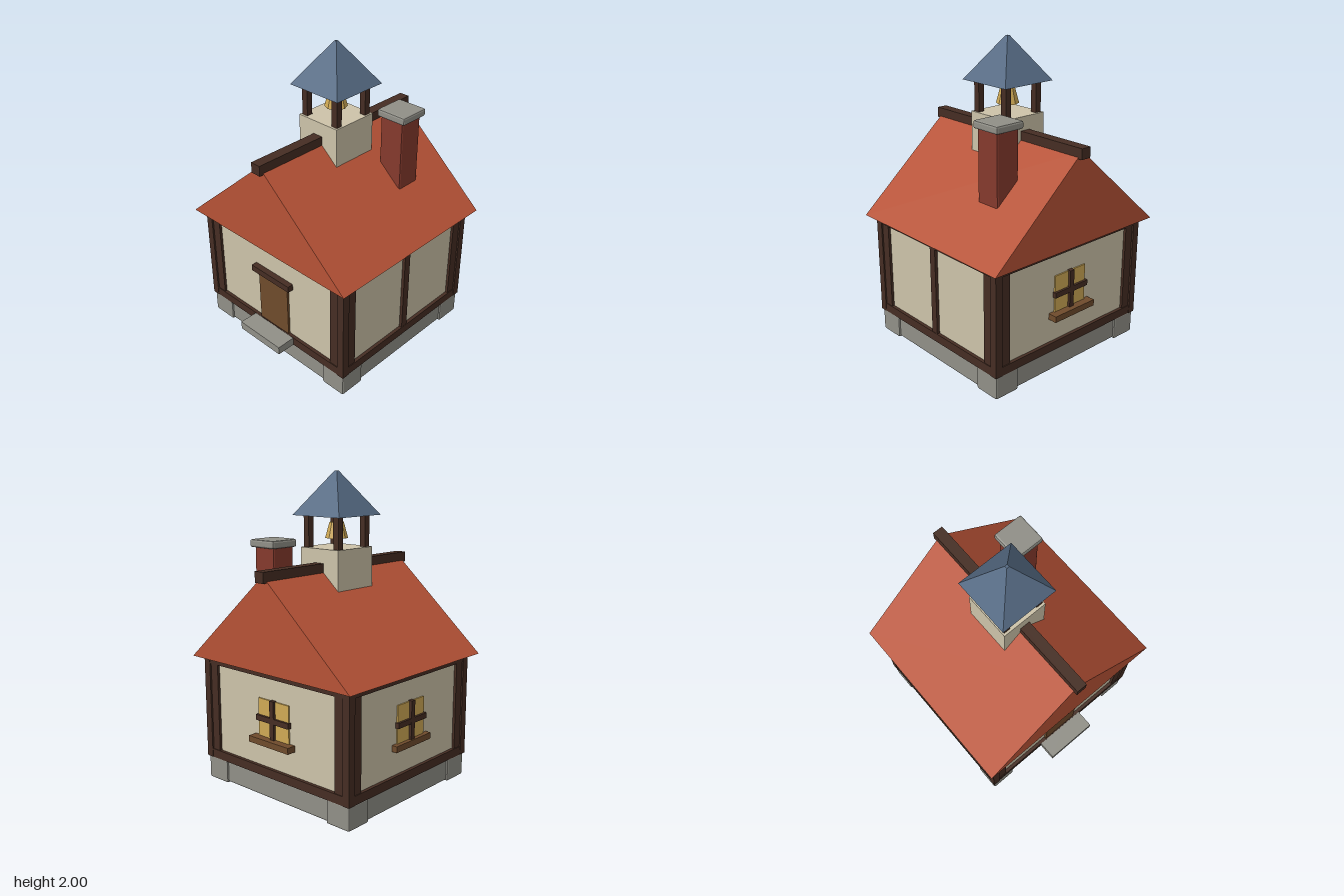
import * as THREE from 'three';
import { RoundedBoxGeometry } from 'three/addons/geometries/RoundedBoxGeometry.js';

const mat = (name, color) => Object.assign(new THREE.MeshStandardMaterial({ color, flatShading: true }), { name });

export function createModel() {
  const plaster = mat('plaster', 0xcdc3a9);
  const timber = mat('dark timber', 0x452d23);
  const wood = mat('brown wood', 0x6f4b2c);
  const stone = mat('grey stone', 0x908f87);
  const tile = mat('red roof tile', 0xb65236);
  const brick = mat('chimney brick', 0x853a2d);
  const slate = mat('blue slate', 0x566b84);
  const gold = mat('gold', 0xcfa955);

  const model = new THREE.Group();
  model.name = 'bellHouse';
  const house = new THREE.Group();
  house.name = 'house';
  house.position.z = -0.022;
  model.add(house);

  const add = (name, geometry, material, parent = house) => {
    const m = new THREE.Mesh(geometry, material);
    m.name = name;
    parent.add(m);
    return m;
  };
  // Box given by its two extreme corners; a bevel chamfers its edges
  const box = (name, material, [x0, y0, z0], [x1, y1, z1], bevel = 0, parent = house) => {
    const s = [x1 - x0, y1 - y0, z1 - z0];
    const g = bevel ? new RoundedBoxGeometry(...s, 1, bevel) : new THREE.BoxGeometry(...s);
    const m = add(name, g, material, parent);
    m.position.set((x0 + x1) / 2, (y0 + y1) / 2, (z0 + z1) / 2);
    return m;
  };

  // Stone base with thicker corner blocks
  box('foundation', stone, [-0.6, 0.005, -0.565], [0.6, 0.15, 0.565], 0.012);
  for (const sx of [-1, 1]) for (const sz of [-1, 1]) {
    const block = box('foundationCorner', stone, [-0.0875, 0, -0.0875], [0.0875, 0.155, 0.0875], 0.01);
    block.position.x = sx * 0.525;
    block.position.z = sz * 0.49;
  }
  box('doorStep', stone, [-0.18, 0.15, 0.5], [0.18, 0.205, 0.708]);

  // Plaster walls
  box('walls', plaster, [-0.595, 0.15, -0.56], [0.595, 0.83, 0.56]);

  // Timber frame: corner posts, flanking studs and horizontal beams
  for (const sx of [-1, 1]) for (const sz of [-1, 1]) {
    const post = box('cornerPost', timber, [-0.025, 0.15, -0.025], [0.025, 0.83, 0.025]);
    post.position.x = sx * 0.595;
    post.position.z = sz * 0.56;
    const frontStud = box('wallStud', timber, [-0.031, 0.15, -0.01], [0.031, 0.83, 0.01]);
    frontStud.position.x = sx * 0.535;
    frontStud.position.z = sz * 0.567;
    const sideStud = box('wallStud', timber, [-0.01, 0.15, -0.031], [0.01, 0.83, 0.031]);
    sideStud.position.x = sx * 0.602;
    sideStud.position.z = sz * 0.502;
  }
  for (const [y0, y1] of [[0.15, 0.207], [0.785, 0.83]]) {
    box('wallBeam', timber, [-0.61, y0, -0.582], [0.61, y1, 0.582]);
    box('wallBeam', timber, [-0.617, y0, -0.57], [0.617, y1, 0.57]);
  }
  box('middlePost', timber, [0.59, 0.2, -0.024], [0.615, 0.79, 0.024]);

  // Door
  box('door', wood, [-0.13, 0.2, 0.55], [0.13, 0.575, 0.575]);
  box('doorLintel', timber, [-0.168, 0.575, 0.55], [0.168, 0.617, 0.6]);

  // Windows, built facing +z with the wall surface at z = 0
  const addWindow = (x, z, turn, sillDepth) => {
    const w = new THREE.Group();
    w.name = 'window';
    w.position.set(x, 0, z);
    w.rotation.y = turn;
    house.add(w);
    box('windowPane', gold, [-0.13, 0.4, 0.002], [0.13, 0.645, 0.011], 0, w);
    box('windowBar', timber, [-0.017, 0.4, 0.001], [0.017, 0.65, 0.028], 0, w);
    box('windowBar', timber, [-0.14, 0.505, 0.001], [0.14, 0.54, 0.026], 0, w);
    box('windowSill', wood, [-0.17, 0.365, 0], [0.17, 0.405, sillDepth], 0, w);
  };
  addWindow(0, -0.56, Math.PI, 0.06);
  addWindow(-0.595, 0, -Math.PI / 2, 0.037);

  // Gable roof and ridge beam
  const gable = new THREE.Shape([[-0.67, 0.83], [0.67, 0.83], [0, 1.415]].map(p => new THREE.Vector2(...p)));
  add('roof', new THREE.ExtrudeGeometry(gable, { depth: 1.274, bevelEnabled: false }), tile).position.z = -0.637;
  box('ridgeBeam', timber, [-0.035, 1.375, -0.664], [0.035, 1.442, 0.664]);

  // Chimney
  box('chimney', brick, [0.22, 1.0, -0.338], [0.388, 1.535, -0.166], 0.012);
  box('chimneyCap', stone, [0.2, 1.527, -0.361], [0.41, 1.577, -0.152], 0.012);

  // Bell tower
  box('towerBase', plaster, [-0.157, 1.2, -0.16], [0.157, 1.53, 0.16]);
  for (const sx of [-1, 1]) for (const sz of [-1, 1]) {
    const post = box('towerPost', timber, [-0.021, 1.53, -0.021], [0.021, 1.735, 0.021]);
    post.position.x = sx * 0.124;
    post.position.z = sz * 0.124;
  }
  const spire = new THREE.CylinderGeometry(0.012, 0.195 * Math.SQRT2, 0.272, 4).rotateY(Math.PI / 4);
  add('towerRoof', spire, slate).position.y = 1.864;
  add('bell', new THREE.CylinderGeometry(0.045, 0.072, 0.1, 8), gold).position.y = 1.635;

  return model;
}
